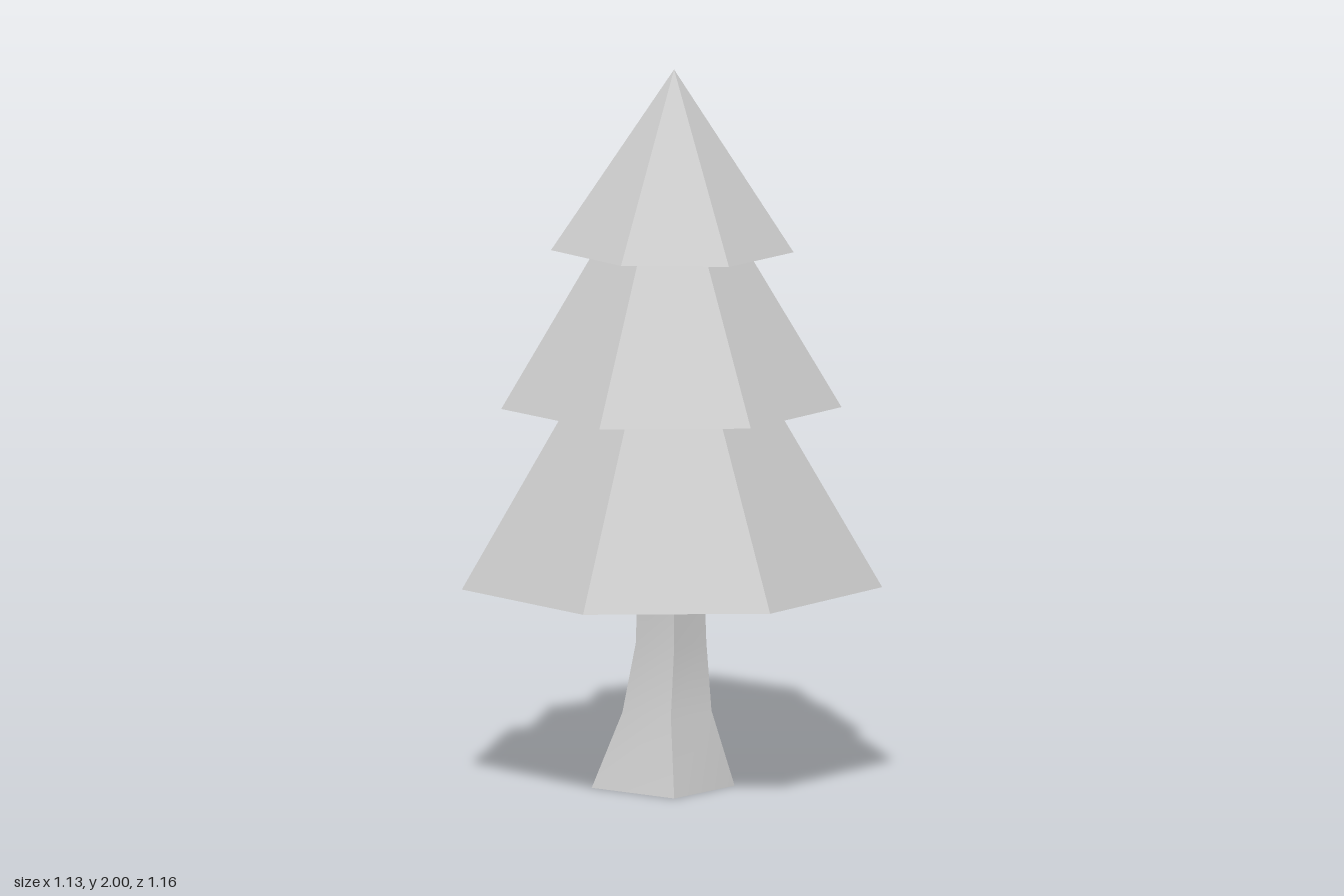
import * as THREE from 'three';

const grey = new THREE.MeshStandardMaterial({ color: 0xcccccc });
const flatGrey = new THREE.MeshStandardMaterial({ color: 0xcccccc, flatShading: true });

// Seven-sided closed cone with one corner on +x
function foliageTier(name, radius, baseY, apexY, x, z = 0, tilt = 0) {
  const height = apexY - baseY;
  const geometry = new THREE.ConeGeometry(radius, height, 7, 1, false, Math.PI / 2);
  geometry.translate(0, height / 2, 0);
  const mesh = new THREE.Mesh(geometry, flatGrey);
  mesh.name = name;
  mesh.position.set(x, baseY, z);
  mesh.rotation.z = tilt;
  return mesh;
}

// Regular five-sided trunk section with one corner on +x
function trunkRing(y, radius, x, z) {
  return Array.from({ length: 5 }, (_, i) => {
    const a = (i * Math.PI * 2) / 5;
    return new THREE.Vector3(x + radius * Math.cos(a), y, z + radius * Math.sin(a));
  });
}

// Fan over a ring, wound to face down or up
function capGeometry(ring, down) {
  const geometry = new THREE.BufferGeometry().setFromPoints(ring);
  const index = [];
  for (let i = 1; i < ring.length - 1; i++) index.push(0, ...(down ? [i, i + 1] : [i + 1, i]));
  geometry.setIndex(index);
  geometry.computeVertexNormals();
  return geometry;
}

function createTrunk() {
  const trunk = new THREE.Group();
  trunk.name = 'trunk';

  // Uneven flared foot, then regular sections rising into the foliage
  const foot = [[0.15, 0], [0.025, 0.228], [-0.23, 0.108], [-0.18, -0.1], [0.025, -0.145]]
    .map(([x, z]) => new THREE.Vector3(x, 0, z));
  const rings = [
    foot,
    trunkRing(0.21, 0.13, -0.043, 0.01),
    trunkRing(0.4, 0.103, -0.032, 0.002),
    trunkRing(0.6, 0.096, -0.032, 0.002),
  ];

  // One strip per side: smooth going up, sharp between sides
  for (let i = 0; i < 5; i++) {
    const points = rings.flatMap((ring) => [ring[i], ring[(i + 1) % 5]]);
    const index = [];
    for (let j = 0; j < rings.length - 1; j++) {
      const a = j * 2;
      index.push(a, a + 2, a + 1, a + 1, a + 2, a + 3);
    }
    const geometry = new THREE.BufferGeometry().setFromPoints(points);
    geometry.setIndex(index);
    geometry.computeVertexNormals();
    const side = new THREE.Mesh(geometry, grey);
    side.name = 'trunkSide';
    trunk.add(side);
  }

  const base = new THREE.Mesh(capGeometry(foot, true), grey);
  base.name = 'trunkBase';
  const top = new THREE.Mesh(capGeometry(rings[3], false), grey);
  top.name = 'trunkTop';
  trunk.add(base, top);
  return trunk;
}

export function createModel() {
  const tree = new THREE.Group();
  tree.name = 'tree';
  tree.add(
    createTrunk(),
    foliageTier('lowerFoliage', 0.594, 0.57, 1.56, -0.03),
    foliageTier('middleFoliage', 0.481, 1.07, 1.85, -0.031),
    foliageTier('topFoliage', 0.343, 1.505, 2, -0.026, 0.007, -0.015),
  );
  return tree;
}
